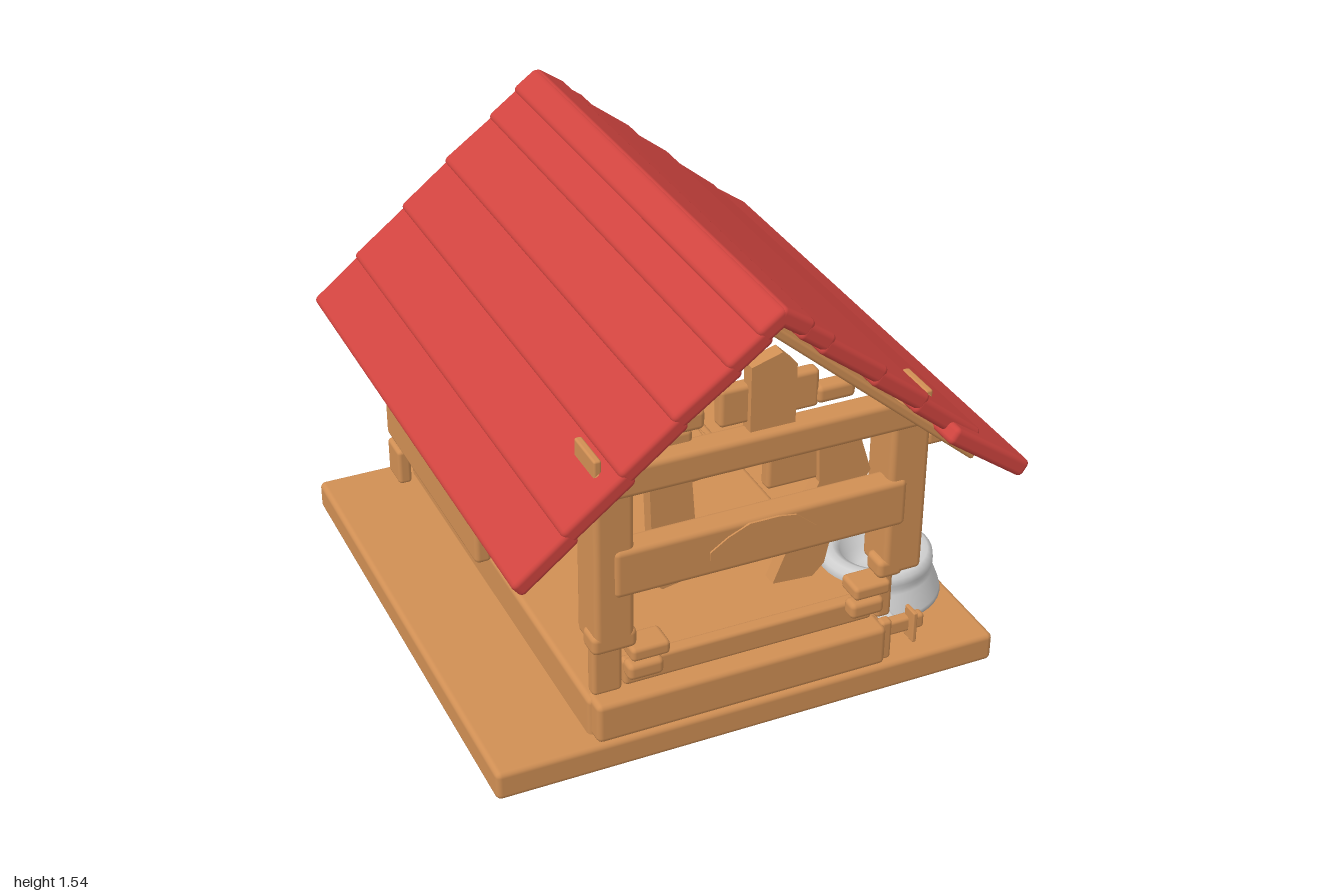
import * as THREE from 'three';
import { RoundedBoxGeometry } from 'three/addons/geometries/RoundedBoxGeometry.js';

export function createModel() {
  const model = new THREE.Group();
  model.name = 'weatheredKennel';

  const material = (name, color) => {
    const m = new THREE.MeshStandardMaterial({ color });
    m.name = name;
    return m;
  };
  const wood = material('wood', 0xd08f54);
  const red = material('roofRed', 0xd0443f);
  const metal = material('bowlGrey', 0xd0d0d0);
  metal.side = THREE.DoubleSide;

  const add = (name, geometry, mat, parent = model) => {
    const mesh = new THREE.Mesh(geometry, mat);
    mesh.name = name;
    parent.add(mesh);
    return mesh;
  };

  // Soft-edged plank given by its limits on each axis
  const plank = (name, x0, x1, y0, y1, z0, z1, tilt = 0, mat = wood) => {
    const w = x1 - x0, h = y1 - y0, d = z1 - z0;
    const r = Math.min(0.02, 0.3 * Math.min(w, h, d));
    const mesh = add(name, new RoundedBoxGeometry(w, h, d, 2, r), mat);
    mesh.position.set((x0 + x1) / 2, (y0 + y1) / 2, (z0 + z1) / 2);
    mesh.rotation.z = tilt;
    return mesh;
  };

  // Board whose upper face runs from point a down to point b
  const slopeBoard = (name, a, b, t, halfDepth, mat) => {
    const d = new THREE.Vector2(b[0] - a[0], b[1] - a[1]);
    const len = d.length();
    d.normalize();
    const n = new THREE.Vector2(-d.y, d.x);
    if (n.y < 0) n.negate();
    const mesh = add(name, new RoundedBoxGeometry(len, t, halfDepth * 2, 2, t * 0.3), mat);
    mesh.position.set((a[0] + b[0]) / 2 - n.x * t / 2, (a[1] + b[1]) / 2 - n.y * t / 2, 0);
    mesh.rotation.z = Math.atan2(d.y, d.x);
    return mesh;
  };

  // Flat cut-out plate facing the front
  const plate = (name, points, z, depth) => {
    const shape = new THREE.Shape(points.map(p => new THREE.Vector2(p[0], p[1])));
    const g = new THREE.ExtrudeGeometry(shape, { depth, bevelEnabled: false });
    add(name, g, wood).position.z = z;
  };

  // Ground slab, floor and front sill
  plank('baseSlab', -0.88, 0.87, 0, 0.105, -0.9, 0.89);
  plank('floor', -0.55, 0.48, 0.08, 0.24, -0.83, 0.83);
  plank('frontSill', -0.54, 0.47, 0.1, 0.245, 0.78, 0.88);
  plank('threshold', -0.42, 0.45, 0.24, 0.33, 0.76, 0.81);

  // Back wall and left-over side wall, row by row
  const rows = [[0.26, 0.42], [0.44, 0.61], [0.63, 0.8], [0.82, 0.95]];
  rows.forEach(([y0, y1], i) => {
    plank('backPlank', -0.57, 0.54, y0, y1, -0.88, -0.82);
    plank('sidePlank', -0.62, -0.56, y0, Math.min(y1, 0.93), -0.88, 0.04 - 0.005 * (i % 2));
  });
  plank('backLowPlank', -0.52, 0.5, 0.1, 0.25, -0.87, -0.82);
  plank('sideStub', -0.62, -0.57, 0.1, 0.24, -0.88, -0.76);
  plank('backPost', 0.51, 0.57, 0.24, 0.98, -0.83, -0.69);
  plank('backPost', -0.56, -0.5, 0.24, 0.98, -0.83, -0.69);

  // Front posts, poking through the roof
  plank('frontPost', -0.54, -0.41, 0.44, 1.095, 0.72, 0.87);
  plank('frontPost', 0.45, 0.585, 0.44, 1.085, 0.72, 0.87);

  // Front beams and gable pieces
  plank('lowerBeam', -0.48, 0.51, 0.63, 0.8, 0.79, 0.88);
  plank('upperBeam', -0.54, 0.58, 0.98, 1.09, 0.79, 0.88);
  plank('gableCrossbar', -0.12, 0.21, 1.11, 1.24, 0.78, 0.83);
  plate('gableBoard', [[-0.03, 1.08], [0.12, 1.08], [0.12, 1.29], [0.07, 1.34], [-0.03, 1.31]], 0.8, 0.05);
  plank('gableBlock', -0.3, -0.17, 1.13, 1.2, 0.78, 0.84);
  plank('gableBlock', 0.2, 0.33, 1.12, 1.18, 0.78, 0.84);
  plank('gableRail', -0.34, -0.2, 1.06, 1.13, 0.76, 0.82);
  plate('archPlate', [[-0.17, 0.69], [0.19, 0.69], [0.19, 0.72], [0.12, 0.78], [0.06, 0.79],
    [-0.04, 0.79], [-0.11, 0.76], [-0.17, 0.72]], 0.878, 0.008);

  // Broken boards still hanging in the front wall
  plate('brokenBoard', [[-0.31, 0.58], [-0.28, 0.55], [-0.17, 0.57], [-0.16, 0.62], [-0.2, 1.12], [-0.33, 1.1]], 0.73, 0.05);
  plate('brokenBoard', [[0.1, 0.46], [0.24, 0.45], [0.28, 0.49], [0.31, 0.63], [0.43, 0.8], [0.36, 1.02],
    [0.24, 1.02], [0.25, 0.8], [0.17, 0.63]], 0.73, 0.05);
  plank('brokenBlock', 0.08, 0.32, 0.8, 0.92, 0.71, 0.76);

  // Stubs of the lower front wall on both sides of the doorway
  for (const [x0, x1] of [[-0.43, -0.31], [0.34, 0.46]]) {
    plank('wallStub', x0, x1, 0.3, 0.36, 0.81, 0.87);
    plank('wallStub', x0 + 0.01, x1 + 0.02, 0.37, 0.42, 0.77, 0.87);
  }
  plank('cornerStub', -0.53, -0.43, 0.24, 0.43, 0.77, 0.82);
  plank('cornerStub', 0.46, 0.515, 0.24, 0.42, 0.77, 0.82);
  plank('cornerStub', -0.55, -0.4, 0.43, 0.5, 0.78, 0.87);
  plank('cornerStub', 0.43, 0.52, 0.43, 0.5, 0.78, 0.87);

  // Fallen boards on the floor
  plank('fallenBoard', 0.1, 0.42, 0.24, 0.27, -0.75, -0.15).rotation.y = 0.12;
  plank('fallenBoard', 0.22, 0.4, 0.26, 0.29, -0.47, -0.19).rotation.x = 0.14;

  // Roof: overlapping boards on each slope, with a timber lining
  const leftPts = [[0.02, 1.55], [-0.07, 1.47], [-0.165, 1.385], [-0.335, 1.25], [-0.5, 1.105], [-0.68, 0.95], [-0.835, 0.81]];
  const rightPts = [[0.02, 1.55], [0.13, 1.46], [0.2, 1.395], [0.38, 1.245], [0.53, 1.115], [0.72, 0.945]];
  for (const pts of [leftPts, rightPts]) {
    for (let i = 0; i < pts.length - 1; i++) {
      const [ax, ay] = pts[i], [bx, by] = pts[i + 1];
      const s = Math.sign(bx - ax);
      const lap = i ? 0.03 : 0;
      slopeBoard('roofBoard', [ax - s * lap, ay + lap * 0.75], [bx, by + 0.015], 0.06, 0.95, red);
    }
  }
  slopeBoard('eaveBoard', [0.6, 1.03], [0.875, 0.835], 0.06, 1.0, red);
  for (const s of [-1, 1]) slopeBoard('roofLining', [0.01, 1.47], [s * 0.74, 0.85], 0.03, 0.9, wood);
  plank('rafterEnd', 0.58, 0.68, 0.89, 0.94, 0.78, 0.86);
  plank('rafterEnd', -0.66, -0.55, 0.89, 0.94, 0.78, 0.86);

  // Pegs showing on top of the roof
  plank('roofPeg', -0.54, -0.515, 1.03, 1.13, 0.72, 0.87);
  plank('roofPeg', 0.555, 0.58, 1.02, 1.1, 0.72, 0.87);

  // Bowl
  const profile = [[0, 0], [0.225, 0], [0.222, 0.015], [0.195, 0.085], [0.188, 0.1], [0.195, 0.12], [0.192, 0.145],
    [0.175, 0.158], [0.145, 0.158], [0.12, 0.145], [0.1, 0.09], [0.06, 0.06], [0, 0.055]];
  const bowl = add('bowl', new THREE.LatheGeometry(profile.map(p => new THREE.Vector2(...p)), 40), metal);
  bowl.position.set(0.635, 0.12, 0.495);

  // Bowl bracket
  plank('bracketPin', 0.48, 0.56, 0.15, 0.2, 0.72, 0.78, 0, metal);
  plank('bracketRail', 0.5, 0.65, 0.145, 0.2, 0.77, 0.81);
  plank('bracketTab', 0.59, 0.605, 0.12, 0.235, 0.78, 0.84);
  plank('bracketFoot', 0.46, 0.5, 0.1, 0.25, 0.82, 0.86);

  return model;
}
